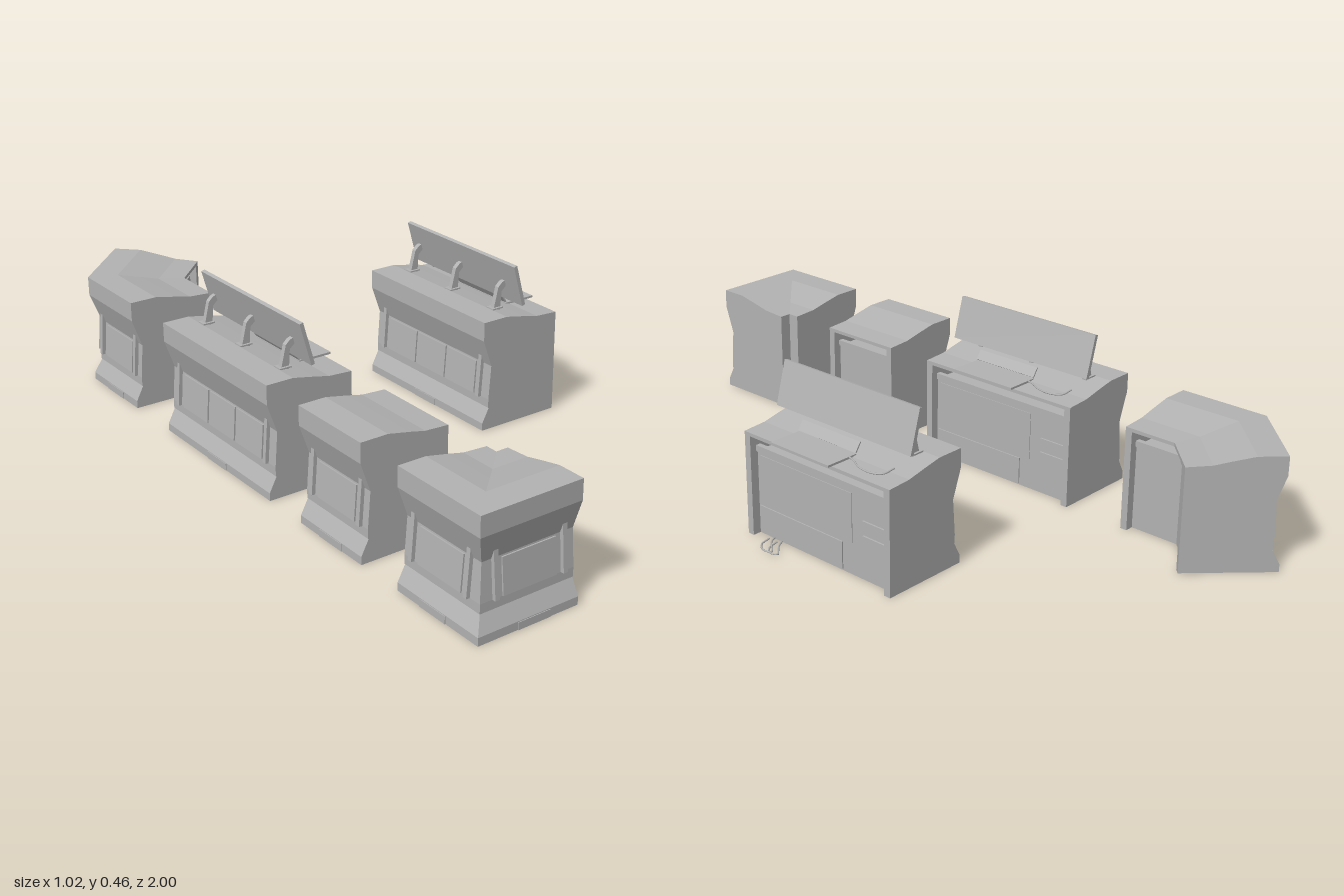
import * as THREE from 'three';

const grey = new THREE.MeshStandardMaterial({ color: 0xb2b2b2, side: THREE.DoubleSide });
grey.name = 'cabinet grey';

// Cross-sections as [depth from the outer face, height], counter-clockwise
const top = [[0.26, 0.298], [0.19, 0.302], [0.145, 0.312], [0.08, 0.325], [0, 0.325]];
const outer = [[0, 0.27], [0.028, 0.19], [0.02, 0.09], [0.02, 0.065], [0.022, 0.064], [0, 0.022], [0, 0]];
const solidProfile = [[0.26, 0], ...top, ...outer];
// Recessed operator side with an open slot under the worktop
const coreProfile = [[0.235, 0], [0.235, 0.24], [0.1, 0.24], [0.1, 0.288], [0.26, 0.288], ...top, ...outer];

function mesh(name, geometry, parent) {
  const m = new THREE.Mesh(geometry, grey);
  m.name = name;
  parent.add(m);
  return m;
}

function box(name, parent, size, pos) {
  const m = mesh(name, new THREE.BoxGeometry(...size), parent);
  m.position.set(...pos);
  return m;
}

const direction = (a, b) => new THREE.Vector2(b[0] - a[0], b[1] - a[1]).normalize();

// Sweep a cross-section along a floor path of [x, z], mitred at the corners
function sweep(profile, path) {
  const last = path.length - 1;
  const rings = path.map((p, i) => {
    const before = direction(path[Math.max(i - 1, 0)], path[Math.max(i, 1)]);
    const after = direction(path[Math.min(i, last - 1)], path[Math.min(i + 1, last)]);
    const n1 = new THREE.Vector2(-before.y, before.x);
    const n2 = new THREE.Vector2(-after.y, after.x);
    const k = 1 + n1.dot(n2);
    const n = n1.add(n2).divideScalar(k);
    return profile.map(([d, y]) => [p[0] + n.x * d, y, p[1] + n.y * d]);
  });
  const v = [];
  for (let i = 0; i < last; i++) {
    for (let j = 0; j < profile.length; j++) {
      const k = (j + 1) % profile.length;
      const a = rings[i][j], b = rings[i][k], c = rings[i + 1][k], d = rings[i + 1][j];
      v.push(...a, ...d, ...c, ...a, ...c, ...b);
    }
  }
  const faces = THREE.ShapeUtils.triangulateShape(profile.map(p => new THREE.Vector2(...p)), []);
  for (const [a, b, c] of faces) {
    v.push(...rings[0][a], ...rings[0][b], ...rings[0][c]);
    v.push(...rings[last][a], ...rings[last][c], ...rings[last][b]);
  }
  const g = new THREE.BufferGeometry();
  g.setAttribute('position', new THREE.Float32BufferAttribute(v, 3));
  g.computeVertexNormals();
  return g;
}

function along(a, b, t) {
  const d = direction(a, b);
  return [a[0] + d.x * t, a[1] + d.y * t];
}

// Local frame of one leg: x runs along it, z runs inward
function legFrame(a, b, parent) {
  const g = new THREE.Group();
  const d = direction(a, b);
  g.name = 'legDetails';
  g.position.set(a[0], 0, a[1]);
  g.rotation.y = Math.atan2(-d.y, d.x);
  parent.add(g);
  return g;
}

// Framed panels between two posts on the outer face
function outerDetails(frame, centre, width, count) {
  const w = width / count;
  for (let i = 0; i < count; i++) {
    const s = centre - width / 2 + (i + 0.5) * w;
    box('outerPanel', frame, [w - 0.008, 0.096, 0.008], [s, 0.138, 0.0235]).rotation.x = 0.08;
  }
  for (const side of [-1, 1]) {
    box('post', frame, [0.013, 0.135, 0.012], [centre + side * (width / 2 + 0.018), 0.157, 0.021]).rotation.x = 0.08;
  }
  box('kickPlate', frame, [0.095, 0.02, 0.004], [centre, 0.01, 0]);
}

// One cabinet: core, end panels and outer details
function cabinet(name, parent, path, recessed, details, count = 1) {
  const g = new THREE.Group();
  g.name = name;
  parent.add(g);
  const n = path.length - 1, t = 0.02;
  if (recessed) {
    const a = along(path[0], path[1], t), b = along(path[n], path[n - 1], t);
    mesh('core', sweep(coreProfile, [a, ...path.slice(1, n), b]), g);
    mesh('endPanel', sweep(solidProfile, [path[0], a]), g);
    mesh('endPanel', sweep(solidProfile, [b, path[n]]), g);
    const rail = [[0.225, 0.24], [0.24, 0.24], [0.24, 0.257], [0.225, 0.257]];
    mesh('rail', sweep(rail, [a, ...path.slice(1, n), b]), g);
  } else {
    mesh('body', sweep(solidProfile, path), g);
  }
  const frames = details.map(([c, w], i) => {
    const f = legFrame(path[i], path[i + 1], g);
    outerDetails(f, c, w, count);
    return f;
  });
  return { group: g, frame: frames[0] };
}

function tube(name, parent, points, radius) {
  const curve = new THREE.CatmullRomCurve3(points.map(p => new THREE.Vector3(...p)));
  return mesh(name, new THREE.TubeGeometry(curve, 28, radius, 6), parent);
}

// Desk with screen, keyboard tray and cables; local x along the desk, z inward
function desk(parent, x) {
  const { frame } = cabinet('screenDesk', parent, [[x, 0.155], [x, -0.37]], true, [[0.2625, 0.41]], 3);

  // Tilted screen
  const screen = box('screen', frame, [0.485, 0.125, 0.011], [0.253, 0.401, 0.132]);
  screen.rotation.x = -0.27;
  screen.rotation.x *= 1;

  // Bent screen supports
  const arm = new THREE.Shape([[0.087, 0.318], [0.112, 0.318], [0.116, 0.372], [0.134, 0.388], [0.131, 0.403],
    [0.117, 0.398], [0.104, 0.386]].map(p => new THREE.Vector2(...p)));
  for (const s of [0.075, 0.265, 0.457]) {
    const support = mesh('screenSupport', new THREE.ExtrudeGeometry(arm, { depth: 0.014, bevelEnabled: false }), frame);
    support.rotation.y = -Math.PI / 2;
    support.position.x = s + 0.007;
    box('supportFoot', frame, [0.028, 0.004, 0.036], [s, 0.326, 0.098]);
  }

  // Keyboard tray and sloping control strip
  box('keyboardTray', frame, [0.21, 0.006, 0.1], [0.225, 0.304, 0.227]);
  box('controlStrip', frame, [0.21, 0.03, 0.004], [0.225, 0.322, 0.17]).rotation.x = -0.6;

  // Access plates on the operator side
  box('lowerPlate', frame, [0.31, 0.078, 0.005], [0.18, 0.044, 0.236]);
  box('upperPlate', frame, [0.34, 0.14, 0.003], [0.2, 0.16, 0.2355]);
  for (const y of [0.108, 0.15]) box('accessPlate', frame, [0.08, 0.036, 0.006], [0.45, y, 0.237]);

  // Desk cable and floor cables
  tube('deskCable', frame, [[0.47, 0.314, 0.185], [0.465, 0.309, 0.22], [0.435, 0.307, 0.234],
    [0.39, 0.307, 0.23], [0.36, 0.308, 0.215], [0.33, 0.309, 0.205]], 0.0025);
  for (const k of [0, 1]) {
    const s = k * 0.03;
    tube('floorCable', frame, [[0.07 + s, 0.004, 0.22], [0.09 + s, 0.004, 0.26], [0.12 + s, 0.005, 0.285 + k * 0.006],
      [0.135 + s * 0.7, 0.005, 0.302 - k * 0.004], [0.11 + s, 0.006, 0.308], [0.08 + s, 0.004, 0.285], [0.07 + s, 0.003, 0.25]], 0.0025);
  }
}

export function createModel() {
  const model = new THREE.Group();
  model.name = 'controlDeskSet';
  cabinet('angledCabinet', model, [[-0.51, -0.555], [-0.51, -0.818], [-0.326, -1]], true,
    [[0.13, 0.165], [0.13, 0.165]]);
  desk(model, -0.51);
  desk(model, 0.195);
  cabinet('smallCabinet', model, [[-0.51, 0.56], [-0.51, 0.3]], true, [[0.13, 0.165]]);
  cabinet('squareCornerCabinet', model, [[-0.215, 1], [-0.51, 1], [-0.51, 0.705]], false,
    [[0.1325, 0.165], [0.1625, 0.165]]);
  return model;
}
